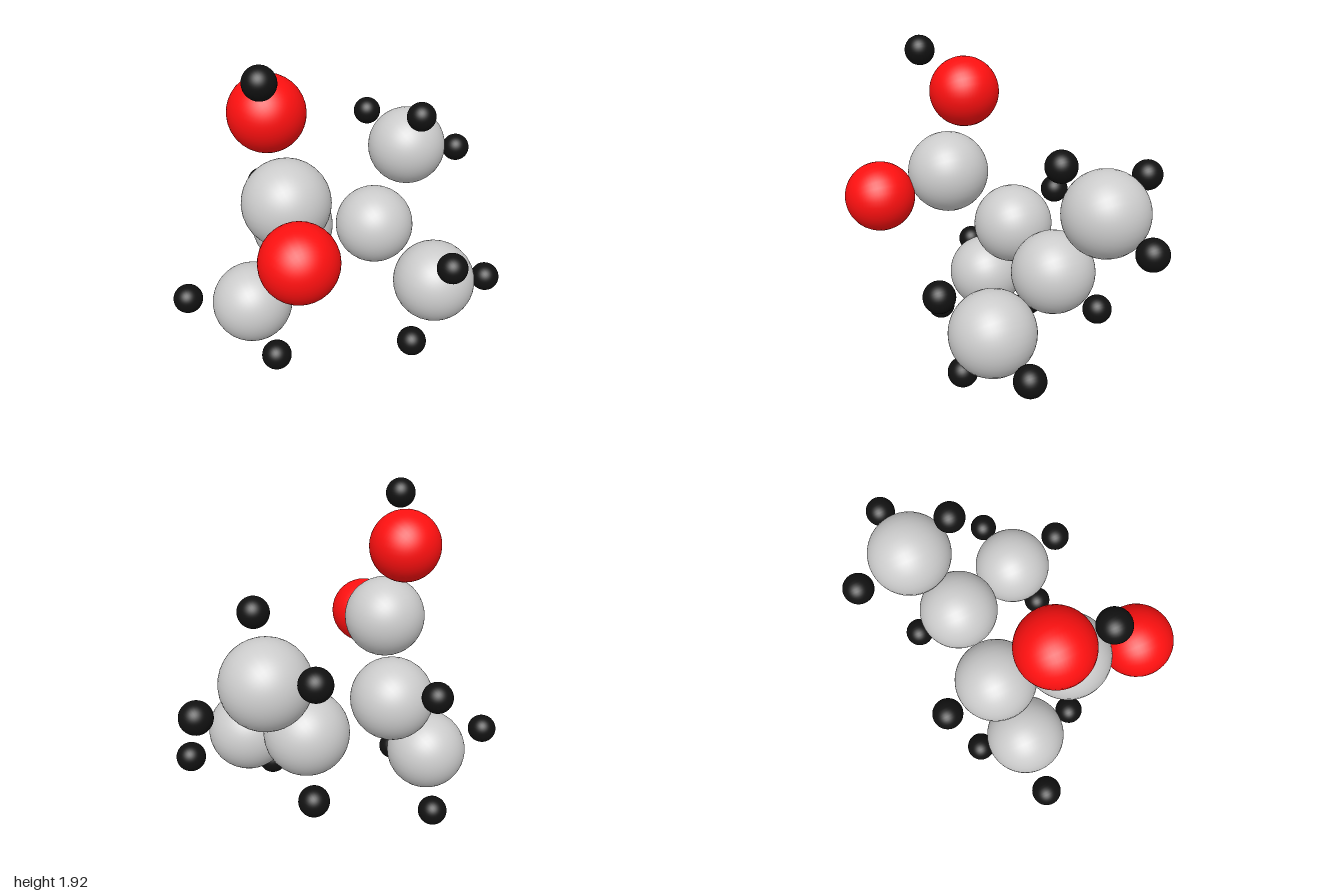
import * as THREE from 'three';

// Space-filling style molecule: each element shares one sphere and one material.
const ELEMENTS = {
  carbon: {
    radius: 0.238, color: 0xcccccc,
    at: [[-0.4, 1.135, 0.155], [-0.26, 0.786, -0.21], [-0.545, 0.342, -0.155],
      [0.265, 0.687, -0.202], [0.449, 0.508, 0.261], [0.54, 1.113, -0.35]],
  },
  oxygen: {
    radius: 0.204, color: 0xff1010,
    at: [[-0.446, 1.596, 0.023], [-0.468, 1.019, 0.562]],
  },
  hydrogen: {
    radius: 0.085, color: 0x111111,
    at: [
      [-0.537, 1.838, 0.256], // on the upper oxygen
      [-0.347, 0.931, -0.547], // on the middle carbon
      [-0.916, 0.422, -0.208], [-0.505, 0.183, 0.188], [-0.444, 0.088, -0.423], // lower right carbon
      [0.338, 0.419, -0.463], // on the central carbon
      [0.82, 0.427, 0.232], [0.405, 0.765, 0.537], [0.27, 0.186, 0.363], // lower left carbon
      [0.503, 1.397, -0.094], [0.911, 1.027, -0.383], [0.417, 1.239, -0.691], // upper left carbon
    ],
  },
};

export function createModel() {
  const model = new THREE.Group();
  model.name = 'molecule';
  for (const [name, { radius, color, at }] of Object.entries(ELEMENTS)) {
    // Sphere poles lie along z
    const geometry = new THREE.SphereGeometry(radius, 32, 32).rotateX(Math.PI / 2);
    const material = new THREE.MeshStandardMaterial({ color });
    const group = new THREE.Group();
    group.name = `${name}Atoms`;
    at.forEach((position, i) => {
      const atom = new THREE.Mesh(geometry, material);
      atom.name = `${name}Atom${i + 1}`;
      atom.position.set(...position);
      group.add(atom);
    });
    model.add(group);
  }
  return model;
}
